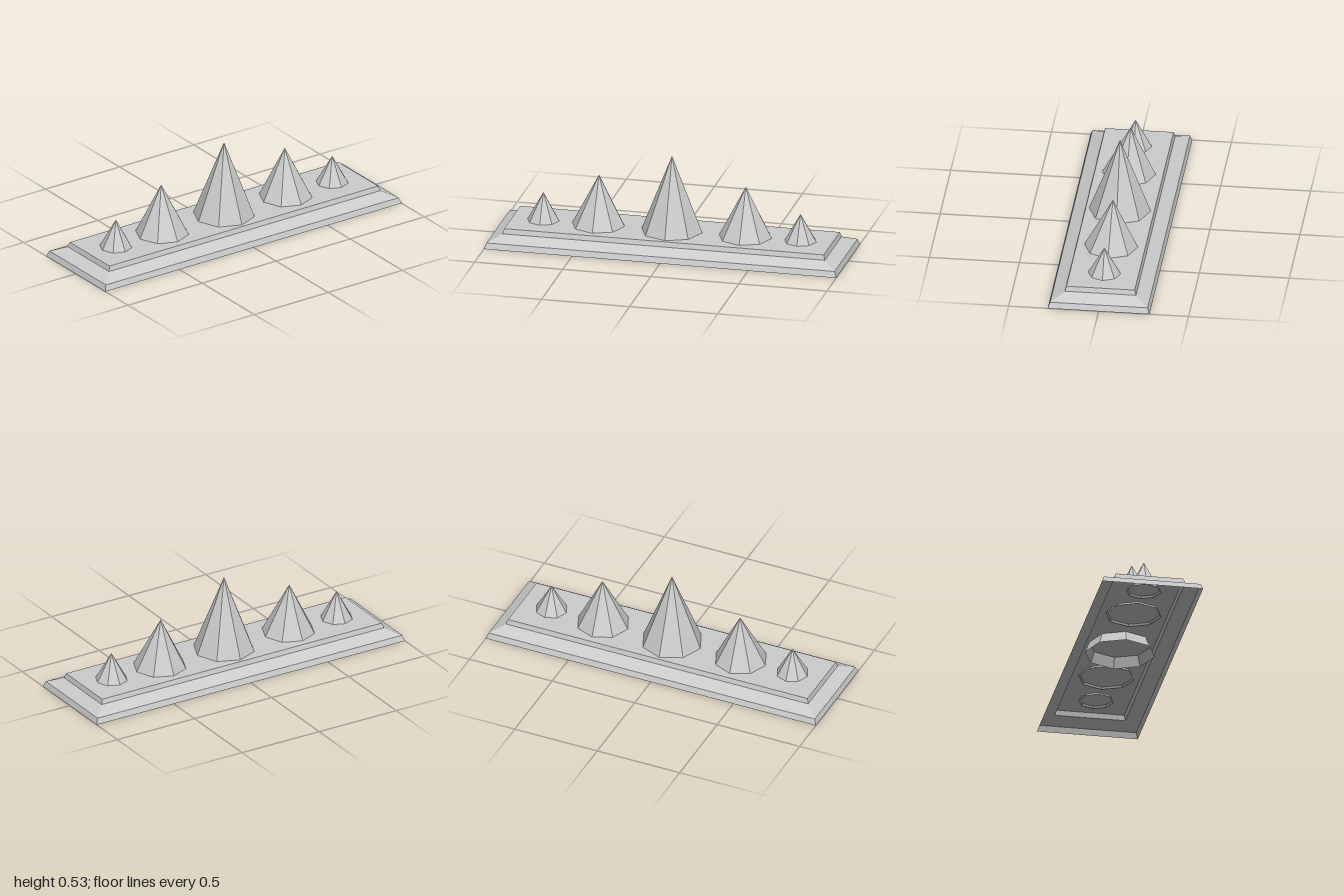
import * as THREE from 'three';

const material = new THREE.MeshStandardMaterial({
  color: 0xcccccc, flatShading: true, side: THREE.DoubleSide,
});

// Hollow stepped plinth: rectangles stacked along an inset/height profile, open below
function plinthGeometry(halfX, halfZ, profile) {
  const positions = [];
  const index = [];
  for (const [inset, y] of profile) {
    const x = halfX - inset;
    const z = halfZ - inset;
    positions.push(-x, y, z, x, y, z, x, y, -z, -x, y, -z);
  }
  for (let ring = 0; ring < profile.length - 1; ring++) {
    for (let i = 0; i < 4; i++) {
      const a = ring * 4 + i;
      const b = ring * 4 + (i + 1) % 4;
      index.push(a, b, b + 4, a, b + 4, a + 4);
    }
  }
  const top = (profile.length - 1) * 4;
  index.push(top, top + 1, top + 2, top, top + 2, top + 3);
  const geometry = new THREE.BufferGeometry();
  geometry.setAttribute('position', new THREE.Float32BufferAttribute(positions, 3));
  geometry.setIndex(index);
  const flat = geometry.toNonIndexed();
  flat.computeVertexNormals();
  return flat;
}

const PLATE_Y = 0.095;

// Open eight-sided spike; radius is measured where it meets the plate, the rim runs on below it
function spike(name, { z, radius, tip, rim, lean = 0 }) {
  const height = tip - rim;
  const rimRadius = radius * height / (tip - PLATE_Y);
  const geometry = new THREE.ConeGeometry(rimRadius, height, 8, 1, true);
  geometry.translate(0, height / 2, 0);
  // Lean the tip slightly sideways
  geometry.applyMatrix4(new THREE.Matrix4().makeShear(0, 0, lean / height, 0, 0, 0));
  const mesh = new THREE.Mesh(geometry, material);
  mesh.name = name;
  mesh.position.set(0, rim, z);
  return mesh;
}

export function createModel() {
  const model = new THREE.Group();
  model.name = 'spikedPlinth';

  const base = new THREE.Mesh(
    plinthGeometry(0.283, 1, [[0, 0], [0.012, 0.033], [0.085, 0.067], [0.093, PLATE_Y]]),
    material,
  );
  base.name = 'plinth';
  model.add(base);

  // Tall spike in the middle, with two smaller ones towards each end
  model.add(spike('centreSpike', { z: 0, radius: 0.172, tip: 0.532, rim: 0.035 }));
  for (const [end, side] of [['front', 1], ['back', -1]]) {
    model.add(spike(end + 'MiddleSpike', {
      z: side * 0.417, radius: 0.149, tip: 0.383, rim: 0.083, lean: -0.01,
    }));
    model.add(spike(end + 'SmallSpike', {
      z: side * 0.73, radius: 0.09, tip: side > 0 ? 0.258 : 0.253, rim: 0.083,
    }));
  }
  return model;
}
